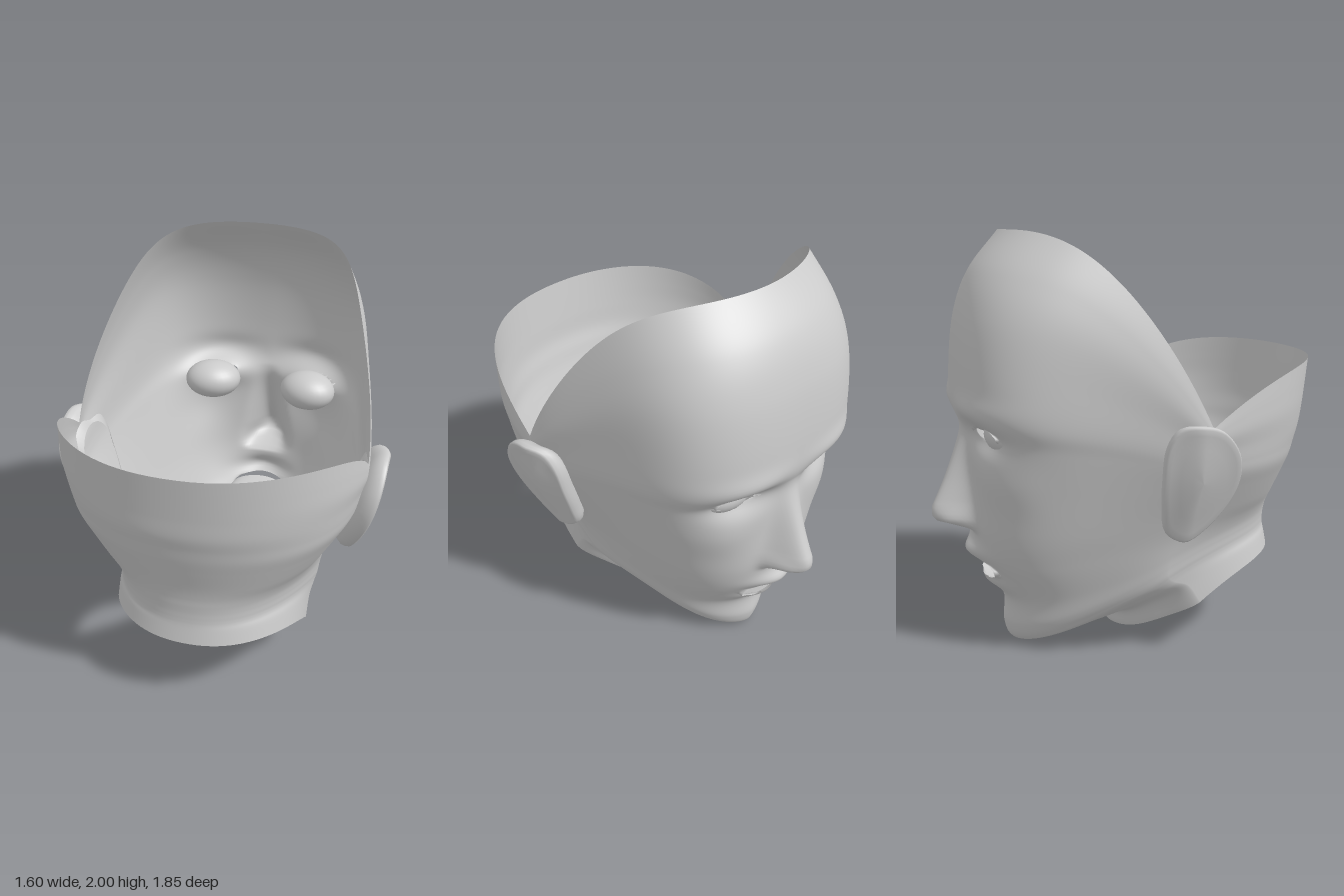
import * as THREE from 'three';

const mat = () => new THREE.MeshStandardMaterial({ color: 0xcccccc, side: THREE.DoubleSide });

// Head sections from the top rim, down the face, under the chin, to the neck rim:
// front y, z, roundness
const FRONT = [
  [2.0, -.56, 2], [1.82, -.70, 2.3], [1.63, -.77, 2.6], [1.4, -.80, 2.8], [1.2, -.80, 2.8], [1.07, -.765, 2.6],
  [.87, -.75, 2.4], [.62, -.745, 2.2], [.45, -.70, 2.05], [.25, -.595, 1.8], [.1, -.595, 1.6], [.015, -.565, 1.5],
  [0, -.5, 1.5], [.06, -.3, 1.6], [.12, -.1, 1.7], [.035, -.06, 1.7]];
// side y, z, half width
const SIDE = [
  [1.17, .2, .71], [1.14, .2, .715], [1.1, .2, .715], [1.05, .2, .7], [1.0, .2, .69], [.95, .2, .675],
  [.87, .19, .635], [.75, .17, .575], [.63, .13, .53], [.53, .1, .505], [.47, .09, .495], [.43, .09, .49],
  [.41, .1, .485], [.39, .13, .48], [.36, .2, .475], [.27, .26, .475]];
// back y, z, and how soon the front half reaches its front height
const BACK = [
  [1.41, .93, 2], [1.3, .915, 2], [1.2, .902, 2], [1.1, .89, 2], [1.02, .868, 2], [.95, .85, 2],
  [.87, .825, 2], [.76, .79, 2], [.69, .774, 1.8], [.64, .768, 1.5], [.6, .764, 1.3], [.57, .763, 1.1],
  [.55, .763, 1.05], [.53, .764, 1], [.5, .768, 1], [.43, .78, 1]];

const spline = rows => new THREE.CatmullRomCurve3(rows.map(r => new THREE.Vector3(...r)), false, 'catmullrom', 0.5);
const bell = (x, y, cx, cy, sx, sy) => Math.exp(-(((x - cx) / sx) ** 2) - ((y - cy) / sy) ** 2);

// Openings for the eyes and mouth: centre x, y, half width, half height
const HOLES = [[.27, 1.11, .105, .036], [-.27, 1.11, .105, .036], [0, .41, .165, .05]];

// Nose, brows, eye sockets, cheeks and lips as a push along z
function sculpt(x, y) {
  const a = Math.abs(x);
  let d = 0;
  if (y < 1.14 && y > .58) {
    const k = Math.min(1, (1.14 - y) / .42);
    const h = .175 * k ** 1.15 * THREE.MathUtils.smoothstep(y, .6, .67);
    d -= h * Math.exp(-((a / (.05 + .04 * k)) ** 2.5));
  }
  d -= .03 * bell(a, y, .085, .67, .035, .04);
  d -= .02 * bell(a, y, .27, 1.22, .2, .06);
  d += .06 * bell(a, y, .26, 1.1, .15, .075);
  d -= .02 * bell(a, y, .36, .88, .15, .12);
  d -= .055 * bell(a, y, 0, .495, .13, .05);
  d -= .045 * bell(a, y, 0, .335, .13, .05);
  return d;
}

function headShell() {
  const f = spline(FRONT), s = spline(SIDE), b = spline(BACK);
  const R = 180, NF = 56, NB = 24, M = NF + NB, N = 2 * M;
  const pos = [], open = [], index = [];
  for (let i = 0; i <= R; i++) {
    const F = f.getPoint(i / R), S = s.getPoint(i / R), B = b.getPoint(i / R);
    for (let j = 0; j < N; j++) {
      const h = j <= M ? j : N - j, sign = j <= M ? 1 : -1, front = h <= NF;
      const t = Math.PI / 2 * (front ? (h / NF) ** 1.3 : (M - h) / NB);
      const E = front ? F : B, e = 2 / (front ? F.z : 2.15);
      const c = Math.max(0, Math.cos(t)) ** e;
      // the temples and cheeks run flatter than a plain oval
      const flat = front ? 1 - .09 * Math.sin(Math.PI * c) ** 1.5 : 1;
      let x = sign * S.z * flat * Math.sin(t) ** e;
      let y = S.x + (E.x - S.x) * (1 - (1 - c) ** (front ? B.z : 2.5));
      let z = S.y + (E.y - S.y) * c;
      let cut = 0;
      if (front && z < -.4) {
        // snap vertices to the rim of each opening
        for (const [cx, cy, rx, ry] of HOLES) {
          const r = Math.hypot((x - cx) / rx, (y - cy) / ry);
          if (r < .6) cut = 1;
          else if (r < 1) { x = cx + (x - cx) / r; y = cy + (y - cy) / r; }
        }
        z += sculpt(x, y) * THREE.MathUtils.smoothstep(-z, .4, .55);
      }
      pos.push(x, y, z);
      open.push(cut);
    }
  }
  for (let i = 0; i < R; i++) for (let j = 0; j < N; j++) {
    const a = i * N + j, d = i * N + (j + 1) % N, c = a + N, e = d + N;
    for (const tri of [[a, d, c], [d, e, c]])
      if (!tri.some(v => open[v])) index.push(...tri);
  }
  return makeGeometry(pos, index);
}

function makeGeometry(pos, index) {
  const g = new THREE.BufferGeometry();
  g.setAttribute('position', new THREE.Float32BufferAttribute(pos, 3));
  g.setIndex(index);
  g.computeVertexNormals();
  return g;
}

// Joins closed rings of n points into a skin
function loft(rings, n, point) {
  const pos = [], index = [];
  rings.forEach((ring, i) => {
    for (let j = 0; j < n; j++) {
      pos.push(...point(ring, j / n));
      if (i) {
        const a = (i - 1) * n + j, b = (i - 1) * n + (j + 1) % n;
        index.push(a, a + n, b, b, a + n, b + n);
      }
    }
  });
  return makeGeometry(pos, index);
}

// Mouth cavity: rounded sections running back from the lips
function mouthBag() {
  // z, centre y, half width, half height, bend, squareness
  const rings = [[-.68, .41, .165, .05, 1.5, 1], [-.6, .39, .18, .06, .8, .7], [-.5, .355, .205, .075, 0, .7],
    [-.33, .345, .21, .08, 0, .7], [-.17, .34, .175, .065, 0, .7], [-.13, .335, .14, .045, 0, .7],
    [-.13, .335, 0, 0, 0, 1]];
  return loft(rings, 32, ([z, cy, w, h, bend, e], u) => {
    const c = Math.cos(u * Math.PI * 2), s = Math.sin(u * Math.PI * 2);
    const x = w * Math.sign(c) * Math.abs(c) ** e;
    return [x, cy + h * Math.sign(s) * Math.abs(s) ** e, z + bend * x * x];
  });
}

// Ear: a rounded plate with its front edge on the head, leaning outward toward the top
function ear(side) {
  const outline = [[.13, 1.2], [.04, 1.19], [-.01, 1.1], [-.015, .95], [0, .8], [.03, .68], [.1, .64], [.17, .68],
    [.27, .82], [.31, .95], [.295, 1.07], [.22, 1.17]];
  const curve = new THREE.CatmullRomCurve3(outline.map(([z, y]) => new THREE.Vector3(0, y, z)), true);
  // scale, offset outward
  const rings = [[.7, -.1], [.88, -.07], [.97, -.04], [1, -.015], [.99, .003], [.95, .01], [.85, .004], [.6, 0], [.3, 0], [0, 0]];
  return loft(rings, 48, ([scale, out], u) => {
    const p = curve.getPoint(u);
    const y = .94 + (p.y - .94) * scale, z = .14 + (p.z - .14) * scale;
    const k = THREE.MathUtils.clamp((y - .64) / .56, 0, 1);
    const x = .635 + .155 * Math.sin(k * Math.PI / 2) - .07 * (1 - THREE.MathUtils.smoothstep(z, -.04, .13));
    return [side * (x + out), y, z];
  });
}

// Lashes: a thin arched strip with pointed tips
function lashes(side) {
  const pos = [], index = [], n = 9;
  const at = u => {
    const x = .165 + .215 * u;
    return [x, 1.112 + .036 * Math.sin(Math.PI * u), -.74 + .12 * u ** 1.6];
  };
  for (let i = 0; i < n; i++) {
    const a = at(i / n), b = at((i + 1) / n), m = at((i + .5) / n), len = .025 + .03 * i / n;
    pos.push(side * a[0], a[1], a[2], side * b[0], b[1], b[2],
      side * (m[0] + len * .7), m[1] + .015, m[2] - len * .6);
    index.push(3 * i, 3 * i + 1, 3 * i + 2);
  }
  return makeGeometry(pos, index);
}

export function createModel() {
  const model = new THREE.Group();
  const add = (name, geometry) => {
    const mesh = new THREE.Mesh(geometry, mat());
    mesh.name = name;
    model.add(mesh);
    return mesh;
  };
  add('headShell', headShell());
  add('mouthCavity', mouthBag());
  for (const [side, label] of [[1, 'left'], [-1, 'right']]) {
    add(label + 'Ear', ear(side));
    const eye = add(label + 'Eye', new THREE.SphereGeometry(.125, 28, 18));
    eye.scale.set(1.2, .8, 1);
    eye.rotation.y = side * -.25;
    eye.position.set(side * .265, 1.11, -.58);
    add(label + 'Lashes', lashes(side));
  }
  return model;
}
